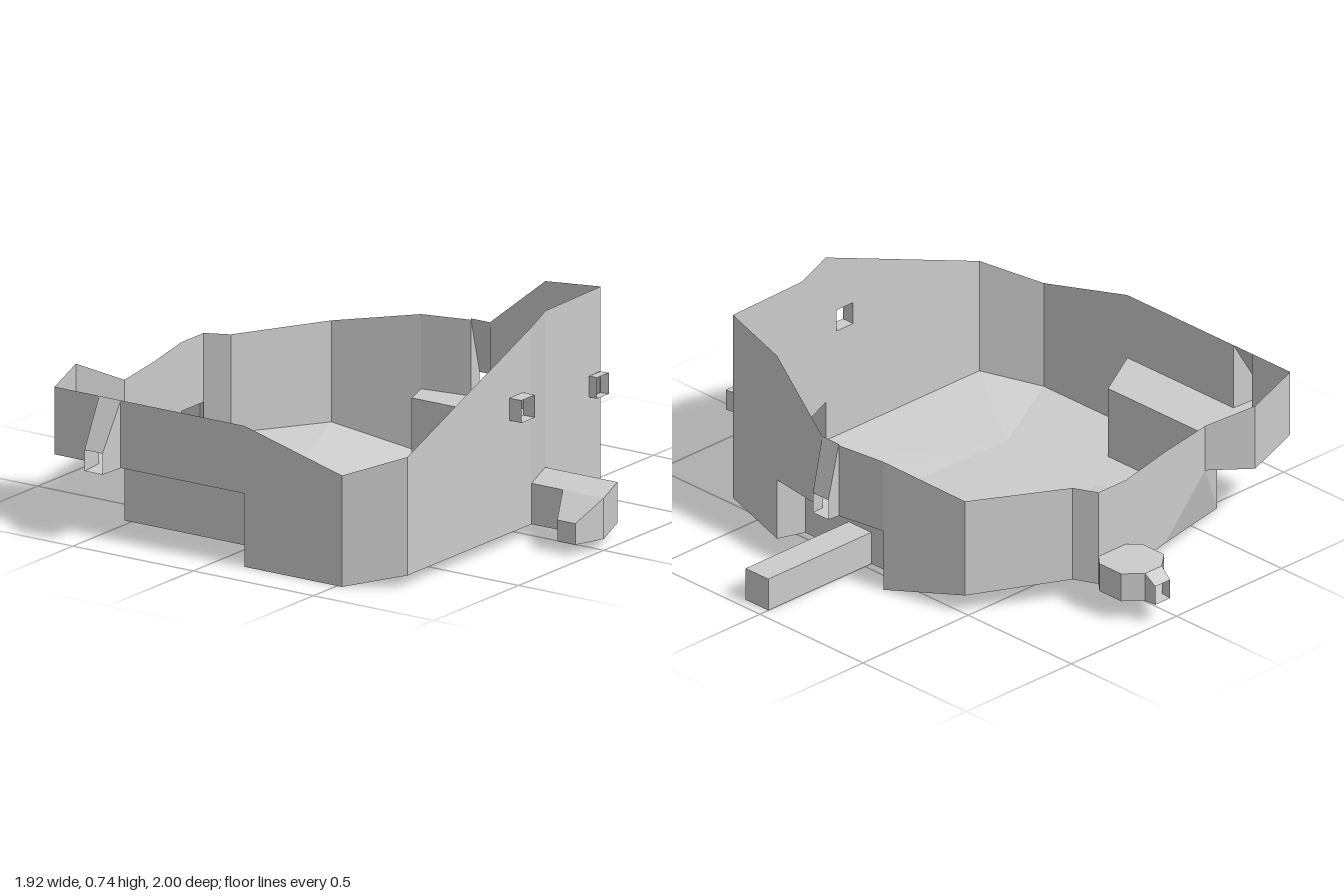
import * as THREE from 'three';

const material = new THREE.MeshStandardMaterial({
  color: 0xcccccc, flatShading: true, side: THREE.DoubleSide,
});

// Mesh from a list of triangles, each three [x, y, z] corners
function addTriangles(group, name, triangles) {
  const geometry = new THREE.BufferGeometry();
  geometry.setAttribute('position', new THREE.Float32BufferAttribute(triangles.flat(2), 3));
  geometry.computeVertexNormals();
  const mesh = new THREE.Mesh(geometry, material);
  mesh.name = name;
  group.add(mesh);
}

const quad = (a, b, c, d) => [[a, b, c], [a, c, d]];

// Triangles that share one centre corner
const fan = (centre, rim) => rim.slice(1).map((p, i) => [centre, p, rim[i]]);

// Polygon seen from above; rim points are [x, z], heights come from heightAt(i)
function sheet(rim, heightAt) {
  const flat = rim.map(([x, z]) => new THREE.Vector2(x, z));
  const corner = (i) => [rim[i][0], heightAt(i), rim[i][1]];
  return THREE.ShapeUtils.triangulateShape(flat, []).map((t) => t.map(corner));
}

// Sleeve between two loops of the same length
const sleeve = (a, b) => a.flatMap((p, i) => {
  const j = (i + 1) % a.length;
  return quad(p, a[j], b[j], b[i]);
});

// Upright panel between a and b, each [x, z, bottom, top]; hole is [u0, u1, y0, y1]
function panel(a, b, hole) {
  const shape = [[0, a[2]], [1, b[2]], [1, b[3]], [0, a[3]]].map((p) => new THREE.Vector2(...p));
  const holes = hole ? [[[hole[0], hole[2]], [hole[0], hole[3]], [hole[1], hole[3]], [hole[1], hole[2]]]
    .map((p) => new THREE.Vector2(...p))] : [];
  const points = [...shape, ...holes.flat()];
  const place = (i) => {
    const { x: u, y } = points[i];
    return [a[0] + (b[0] - a[0]) * u, y, a[1] + (b[1] - a[1]) * u];
  };
  return THREE.ShapeUtils.triangulateShape(shape, holes).map((t) => t.map(place));
}

const run = (points) => points.slice(1).flatMap((p, i) => panel(points[i], p));

// Small roofed room: rim points [x, z, roof height], with some sides left open
function room(rim, floor, open) {
  const walls = rim.flatMap((p, i) => {
    const q = rim[(i + 1) % rim.length];
    return open.includes(i) ? [] : panel([p[0], p[1], floor, p[2]], [q[0], q[1], floor, q[2]]);
  });
  return [...walls, ...sheet(rim, (i) => rim[i][2]), ...sheet(rim, () => floor)];
}

// Rectangle loop in a plane of constant z or x
const loopZ = (x0, x1, y0, y1, z) => [[x0, y0, z], [x1, y0, z], [x1, y1, z], [x0, y1, z]];
const loopX = (z0, z1, y0, y1, x) => [[x, y0, z0], [x, y0, z1], [x, y1, z1], [x, y1, z0]];

export function createModel() {
  const group = new THREE.Group();
  const add = (name, triangles) => addTriangles(group, name, triangles);

  // Floor: flat middle, sloping up to the front and back walls
  const backHub = [-0.49, 0, -0.13], frontHub = [-0.49, 0, 0.32];
  add('floorBack', fan(backHub, [[0.47, 0, -0.13], [0.575, 0, -0.165], [0.5, 0.07, -0.485],
    [0.17, 0.08, -0.67], [0.13, 0.08, -0.755], [0, 0.08, -0.755], [-0.24, 0.08, -0.7],
    [-0.655, 0, -0.53]]));
  add('floorMiddle', [
    ...fan(backHub, [[-0.655, 0, -0.53], [-0.655, 0, 0], [-0.86, 0, 0.115], [-0.86, 0, 0.52], frontHub]),
    ...quad(backHub, frontHub, [0.47, 0, 0.32], [0.47, 0, -0.13]),
  ]);
  add('floorFront', fan(frontHub, [[-0.86, 0, 0.52], [-0.73, 0.04, 0.7], [0, 0.04, 0.7],
    [0.18, 0.04, 0.63], [0.52, 0.04, 0.62], [0.57, 0, 0.355], [0.47, 0, 0.32]]));

  // Front wall with two windows and a doorway
  add('frontWall', [
    ...run([[-0.86, 0.115, 0, 0.5], [-0.86, 0.52, 0, 0.395], [-0.73, 0.7, 0.04, 0.46]]),
    ...panel([-0.73, 0.7, 0.04, 0.46], [0, 0.7, 0.04, 0.74], [0.822, 0.932, 0.44, 0.52]),
    ...panel([0, 0.7, 0.185, 0.74], [0.18, 0.63, 0.185, 0.74]),
    ...panel([0.18, 0.63, 0.04, 0.74], [0.52, 0.62, 0.04, 0.74], [0.794, 0.985, 0.365, 0.44]),
    ...panel([0.52, 0.62, 0.04, 0.74], [0.57, 0.355, 0, 0.7]),
  ]);
  add('frontWindow', sleeve(loopZ(-0.13, -0.05, 0.44, 0.52, 0.7), loopZ(-0.13, -0.05, 0.44, 0.52, 0.75)));
  add('cornerWindow', sleeve(loopZ(0.45, 0.515, 0.365, 0.44, 0.622), loopZ(0.45, 0.52, 0.365, 0.44, 0.655)));

  // Left wall above its recess, interrupted by the hooded slot
  add('leftWall', [
    ...run([[0.57, 0.355, 0.225, 0.7], [0.605, 0.1, 0.225, 0.5]]),
    ...run([[0.605, 0.02, 0.225, 0.495], [0.575, -0.165, 0.225, 0.49]]),
    ...run([[0.575, -0.165, 0, 0.49], [0.5, -0.485, 0.07, 0.43]]),
  ]);
  add('leftSlotHood', sleeve(loopX(0.1, 0.02, 0.225, 0.5, 0.605), loopX(0.1, 0.025, 0.225, 0.3, 0.65)));

  // Recess under the left wall
  const recess = [[0.57, 0.355], [0.605, 0.1], [0.605, 0.02], [0.575, -0.165], [0.47, -0.13], [0.47, 0.32]];
  add('recessRoof', sheet(recess, () => 0.225));
  add('recessWalls', [
    ...run([[0.57, 0.355, 0, 0.225], [0.47, 0.32, 0, 0.225], [0.47, 0.11, 0, 0.225]]),
    ...run([[0.47, 0.11, 0.12, 0.225], [0.47, 0, 0.12, 0.225]]),
    ...run([[0.47, 0, 0, 0.225], [0.47, -0.13, 0, 0.225], [0.575, -0.165, 0, 0.225]]),
  ]);
  add('sideTunnel', room([[0.47, 0.11, 0.12], [0.96, 0.11, 0.12], [0.96, 0, 0.12], [0.47, 0, 0.12]], 0, [3]));

  // Back wall, with a doorway and a leaning piece beside the raised platform
  add('backWall', [
    ...run([[0.5, -0.485, 0.07, 0.43], [0.17, -0.67, 0.08, 0.43], [0.13, -0.755, 0.08, 0.43]]),
    ...run([[0.13, -0.755, 0.185, 0.43], [0, -0.755, 0.185, 0.43]]),
    ...run([[0, -0.755, 0.08, 0.43], [-0.24, -0.7, 0.08, 0.43], [-0.47, -0.66, 0.26, 0.43]]),
    [[-0.24, 0.08, -0.7], [-0.655, 0, -0.53], [-0.47, 0.26, -0.66]],
  ]);

  // Raised platform with its inner faces and outer walls
  const platform = [[-0.655, -0.53], [-0.47, -0.66], [-0.6, -0.77], [-0.86, -0.675], [-0.86, 0.115], [-0.655, 0]];
  add('platformTop', sheet(platform, () => 0.26));
  add('platformFaces', [
    ...run([[-0.86, 0.115, 0, 0.26], [-0.655, 0, 0, 0.26], [-0.655, -0.53, 0, 0.26]]),
    [[-0.655, 0, -0.53], [-0.655, 0.26, -0.53], [-0.47, 0.26, -0.66]],
  ]);
  add('platformWalls', [
    ...run([[-0.47, -0.66, 0.26, 0.43], [-0.6, -0.77, 0.26, 0.5], [-0.86, -0.675, 0.26, 0.5],
      [-0.86, -0.49, 0.26, 0.5]]),
    ...run([[-0.86, -0.4, 0.26, 0.5], [-0.86, 0.115, 0.26, 0.5]]),
  ]);
  add('rightSlotHood', sleeve(loopX(-0.49, -0.4, 0.26, 0.5, -0.86), loopX(-0.48, -0.405, 0.26, 0.335, -0.96)));

  // Front passage with a low side bay
  add('frontPassage', room([[0, 0.7, 0.185], [0, 0.83, 0.185], [0, 1, 0.185], [0.18, 0.93, 0.185],
    [0.18, 0.63, 0.185]], 0.04, [1, 4]));
  add('passageBay', room([[0, 0.83, 0.185], [-0.11, 0.885, 0.115], [-0.11, 0.96, 0.115], [0, 1, 0.185]], 0.04, [3]));

  // Eight-sided back chamber with a short open mouth
  add('backChamber', room([[0, -0.755], [0.13, -0.755], [0.165, -0.795], [0.165, -0.9], [0.105, -0.955],
    [0.025, -0.955], [-0.04, -0.9], [-0.04, -0.795]].map((p) => [...p, 0.185]), 0.08, [0, 4]));
  add('chamberMouth', room([[0.105, -0.955, 0.185], [0.1, -1, 0.15], [0.03, -1, 0.15],
    [0.025, -0.955, 0.185]], 0.08, [1, 3]));

  return group;
}
